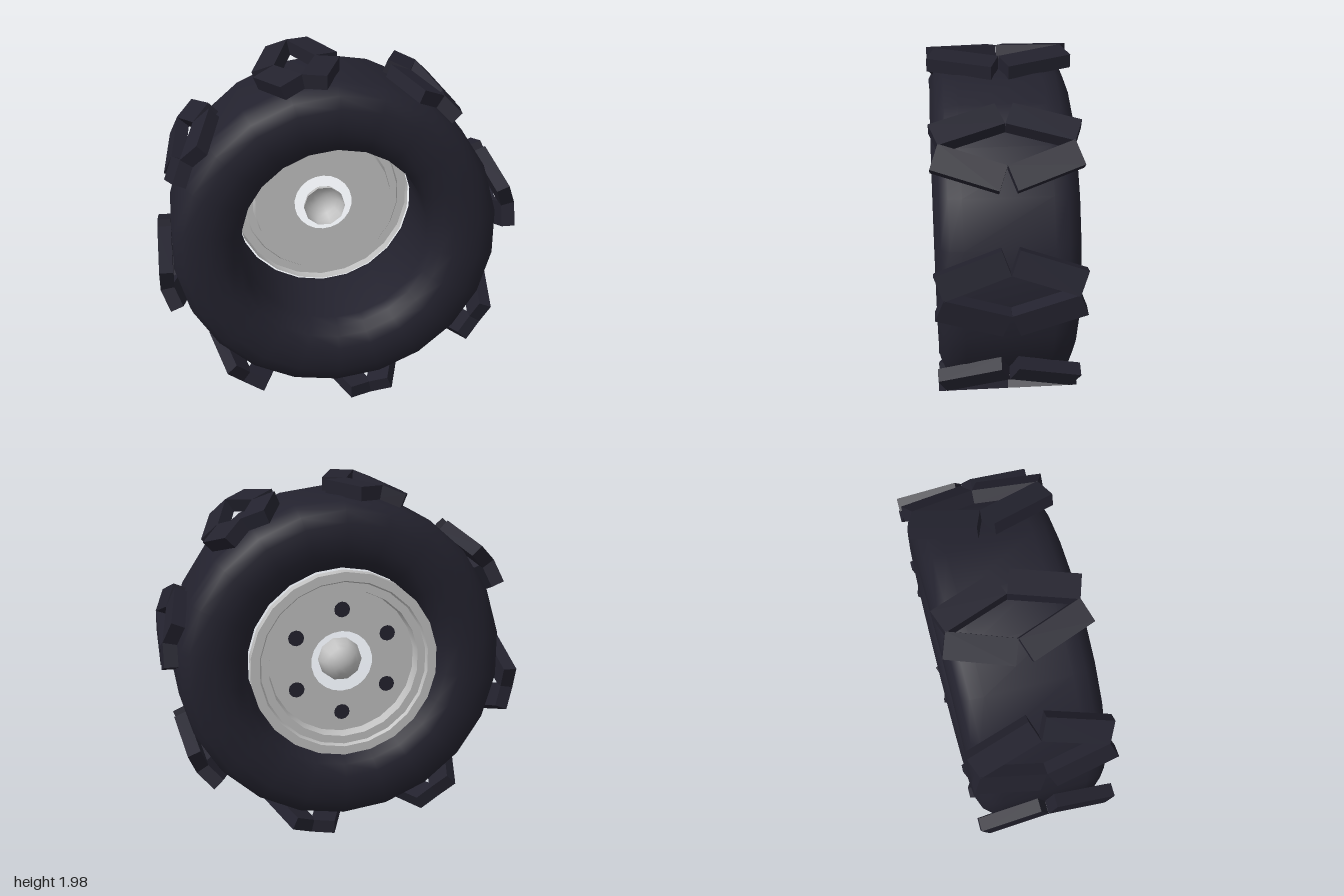
import * as THREE from 'three';
import { toCreasedNormals } from 'three/addons/utils/BufferGeometryUtils.js';

const SIDES = 22;

// Lathe around the z axis from [radius, z] pairs
function latheZ(points, crease = 0.6) {
  const profile = points.map(([r, z]) => new THREE.Vector2(r, z));
  const geo = new THREE.LatheGeometry(profile, SIDES).rotateX(Math.PI / 2);
  return toCreasedNormals(geo, crease);
}

export function createModel() {
  const rubber = new THREE.MeshStandardMaterial({ color: 0x23222e });
  rubber.name = 'dark rubber';
  const metal = new THREE.MeshStandardMaterial({ color: 0xc0c0c0, side: THREE.DoubleSide });
  metal.name = 'light grey metal';

  const wheel = new THREE.Group();
  wheel.name = 'wheel';
  wheel.position.y = 1;

  const add = (name, geo, mat, parent = wheel) => {
    const mesh = new THREE.Mesh(geo, mat);
    mesh.name = name;
    parent.add(mesh);
    return mesh;
  };

  // Tyre: symmetric rounded section, open through the middle
  const half = [[0.53, 0.22], [0.547, 0.29], [0.59, 0.343], [0.655, 0.37], [0.72, 0.378],
    [0.8, 0.371], [0.865, 0.345], [0.905, 0.3], [0.92, 0.23]];
  const section = [
    ...half.map(([r, z]) => [r, -z]),
    ...half.slice().reverse(),
    [0.53, -0.22],
  ];
  add('tyre', latheZ(section, 0.75), rubber);

  // Tread: eight diamonds, each of two chevrons made of two slanted blocks
  const block = new THREE.BoxGeometry(0.137, 0.075, 0.36);
  for (let i = 0; i < 8; i++) {
    for (const sx of [1, -1]) {
      const chevron = new THREE.Group();
      chevron.name = 'treadChevron';
      chevron.rotation.z = i * Math.PI / 4 + (sx < 0 ? Math.PI / 8 : 0);
      wheel.add(chevron);
      for (const sz of [1, -1]) {
        const lug = add('treadBlock', block, rubber, chevron);
        lug.position.set(-0.076 * sx, 0.9525, 0.193 * sz);
        lug.rotation.y = -sz * sx * 0.34;
      }
    }
  }

  // Rim: pressed sheet at the back with flange, step and recessed disc
  add('rim', latheZ([[0.53, -0.27], [0.53, -0.335], [0.48, -0.335], [0.47, -0.315],
    [0.425, -0.315], [0.415, -0.25], [0.175, -0.25]]), metal);

  // Six dark wheel holes on the back of the disc
  const holeGeo = new THREE.CircleGeometry(0.045, 12).rotateY(Math.PI);
  for (let i = 0; i < 6; i++) {
    const a = Math.PI / 2 + i * Math.PI / 3;
    add('wheelHole', holeGeo, rubber).position.set(0.3 * Math.cos(a), 0.3 * Math.sin(a), -0.254);
  }

  // Hub cap: open dome bulging to the back
  const dome = new THREE.SphereGeometry(0.125, 10, 6, 0, Math.PI * 2, 0, Math.PI / 2).rotateX(-Math.PI / 2);
  add('hubCap', dome, metal).position.z = -0.19;

  const model = new THREE.Group();
  model.name = 'offRoadWheel';
  model.add(wheel);
  return model;
}
